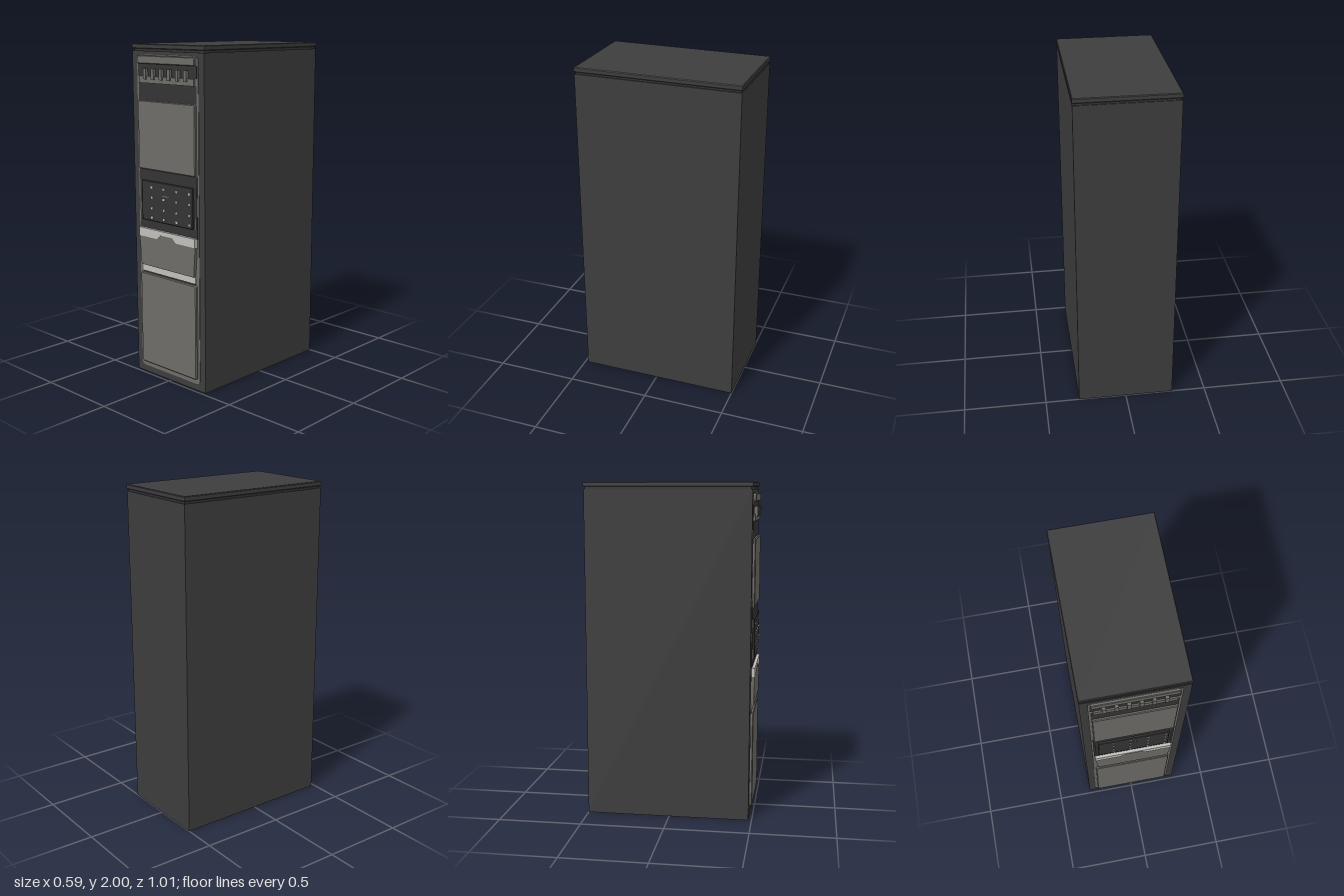
import * as THREE from 'three';

const mat = (name, color) => {
  const m = new THREE.MeshStandardMaterial({ color });
  m.name = name;
  return m;
};

export function createModel() {
  const charcoal = mat('charcoal', 0x3d3d3d);
  const black = mat('black', 0x343434);
  const grey = mat('warm grey', 0x6e6c67);
  const silver = mat('silver', 0xc2c0bc);
  const group = new THREE.Group();
  const FRONT = 0.48;

  const add = (name, geometry, material) => {
    const mesh = new THREE.Mesh(geometry, material);
    mesh.name = name;
    group.add(mesh);
    return mesh;
  };

  // Box given by its limits
  const block = (name, x0, x1, y0, y1, z0, z1, material) =>
    add(name, new THREE.BoxGeometry(x1 - x0, y1 - y0, z1 - z0), material)
      .position.set((x0 + x1) / 2, (y0 + y1) / 2, (z0 + z1) / 2);

  const roundRect = (w, y0, y1, r) => {
    const s = new THREE.Shape();
    s.moveTo(-w + r, y0).lineTo(w - r, y0).quadraticCurveTo(w, y0, w, y0 + r);
    s.lineTo(w, y1 - r).quadraticCurveTo(w, y1, w - r, y1);
    s.lineTo(-w + r, y1).quadraticCurveTo(-w, y1, -w, y1 - r);
    s.lineTo(-w, y0 + r).quadraticCurveTo(-w, y0, -w + r, y0);
    return s;
  };

  // Front-facing plate extruded between two depths
  const plate = (name, shape, z0, z1, material, bevel = 0) => {
    const g = new THREE.ExtrudeGeometry(shape, {
      depth: z1 - z0 - bevel, bevelEnabled: bevel > 0, bevelThickness: bevel,
      bevelSize: bevel, bevelOffset: -bevel, bevelSegments: 1, curveSegments: 6,
    });
    add(name, g, material).position.z = z0;
  };

  // Cabinet: body, shadow gap and chamfered lid
  block('body', -0.293, 0.293, 0, 1.96, -0.5, FRONT, charcoal);
  block('lidGap', -0.286, 0.286, 1.96, 1.972, -0.495, 0.473, black);
  const lidShape = new THREE.Shape();
  lidShape.moveTo(-0.295, -0.482).lineTo(0.295, -0.482).lineTo(0.295, 0.502).lineTo(-0.295, 0.502);
  const lidGeo = new THREE.ExtrudeGeometry(lidShape, {
    depth: 0.02, bevelThickness: 0.004, bevelSize: 0.004, bevelOffset: -0.004, bevelSegments: 1,
  });
  lidGeo.rotateX(-Math.PI / 2);
  add('lid', lidGeo, charcoal).position.y = 1.976;

  // Bezel that carries the front panels
  plate('bezel', roundRect(0.25, 0.04, 1.94, 0.03), FRONT, 0.483, grey);

  // Air intake at the top
  plate('topStrip', roundRect(0.235, 1.888, 1.935, 0.012), 0.482, 0.498, grey, 0.004);
  block('ventRecess', -0.24, 0.24, 1.818, 1.888, 0.482, 0.485, black);
  block('ventSill', -0.225, 0.225, 1.778, 1.818, 0.482, 0.494, grey);
  for (let i = 0; i < 6; i++) {
    const x = -0.168 + i * 0.0665;
    block('ventTooth', x - 0.011, x + 0.011, 1.8, 1.862, 0.484, 0.503, grey);
  }
  block('upperRecess', -0.237, 0.237, 1.68, 1.778, 0.482, 0.485, black);

  // Upper and lower doors
  plate('upperDoor', roundRect(0.235, 1.275, 1.678, 0.008), 0.482, 0.498, grey, 0.005);
  plate('lowerDoor', roundRect(0.235, 0.07, 0.642, 0.015), 0.482, 0.498, grey, 0.005);

  // Control panel with its dark surround and side rails
  block('controlSurround', -0.24, 0.24, 0.915, 1.272, 0.482, 0.486, black);
  plate('controlPanel', roundRect(0.212, 0.97, 1.208, 0.004), 0.485, 0.498, black, 0.003);
  for (const s of [-1, 1]) {
    block('sideRail', s * 0.228 - 0.003, s * 0.228 + 0.003, 0.97, 1.208, 0.485, 0.49, grey);
  }
  for (const x of [-0.122, -0.02, 0.087, 0.192]) {
    for (const y of [0.993, 1.048, 1.112, 1.172]) {
      block('button', x - 0.007, x + 0.007, y - 0.006, y + 0.006, 0.497, 0.503, silver);
    }
  }
  block('indicator', -0.03, 0.018, 1.129, 1.134, 0.497, 0.4995, grey);

  // Drawer: silver handle strip with a raised finger notch
  const notch = [[-0.085, 0.868], [-0.07, 0.876], [-0.05, 0.895], [0.05, 0.895], [0.07, 0.876], [0.085, 0.868]];
  const handle = new THREE.Shape();
  handle.moveTo(-0.235, 0.868);
  notch.forEach(([x, y]) => handle.lineTo(x, y));
  handle.lineTo(0.235, 0.868).lineTo(0.235, 0.92).lineTo(-0.235, 0.92);
  plate('drawerHandle', handle, 0.482, 0.504, silver);
  const drawer = new THREE.Shape();
  drawer.moveTo(-0.222, 0.692).lineTo(0.222, 0.692).lineTo(0.235, 0.868);
  [...notch].reverse().forEach(([x, y]) => drawer.lineTo(x, y));
  drawer.lineTo(-0.235, 0.868);
  plate('drawerFront', drawer, 0.482, 0.501, grey);

  // Silver trim under the drawer
  block('lowerTrim', -0.222, 0.222, 0.652, 0.69, 0.482, 0.487, silver);
  block('trimShadow', -0.222, 0.222, 0.643, 0.652, 0.482, 0.485, black);
  return group;
}
